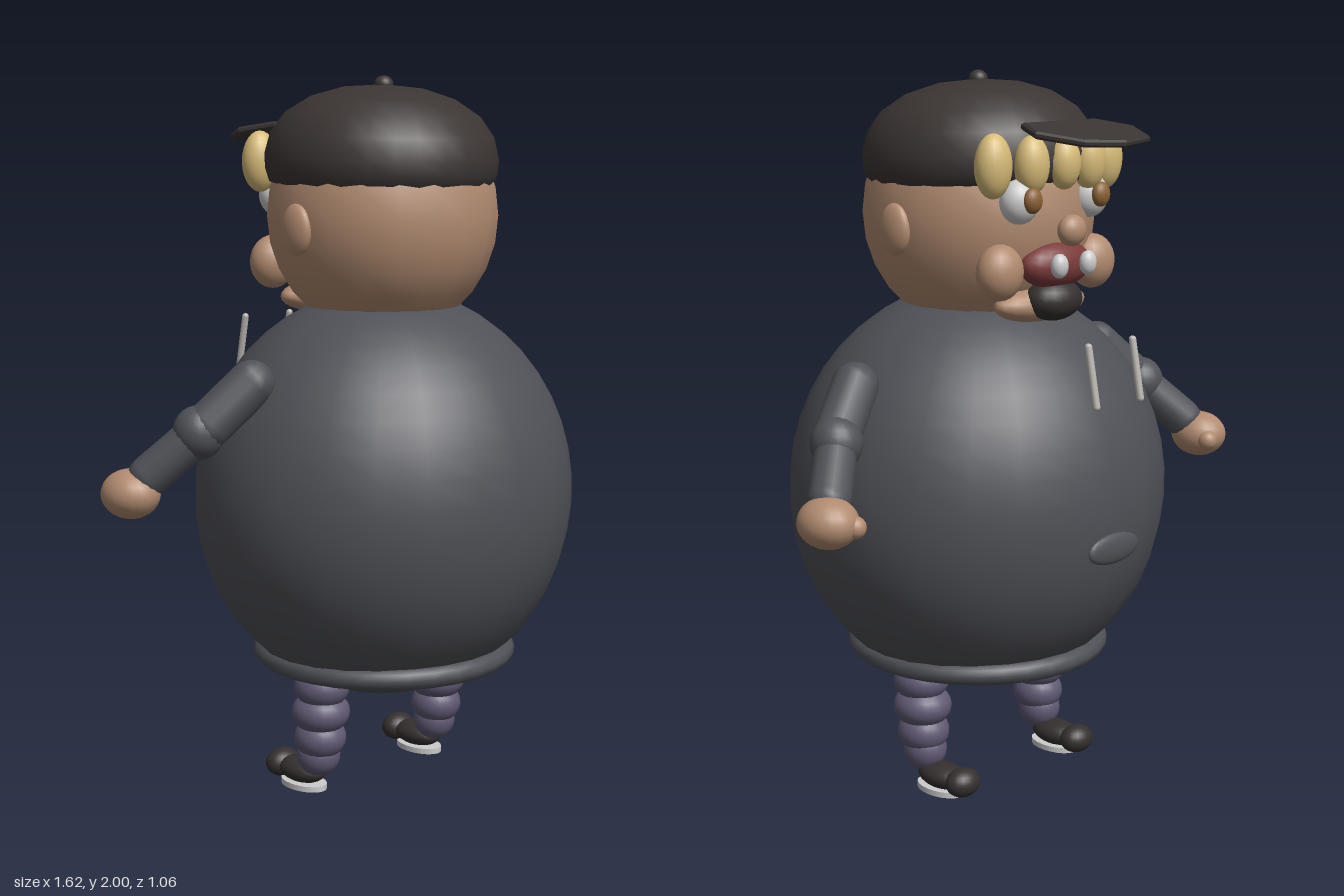
import * as THREE from 'three';

const mat = (color) => new THREE.MeshStandardMaterial({ color, side: THREE.DoubleSide });
const M = {
  coat: mat(0x505157), skin: mat(0xb18b70), cap: mat(0x3b3533), hair: mat(0xd6bb78),
  pants: mat(0x605a74), lips: mat(0x7b3a3a), white: mat(0xebebe8), brown: mat(0x8c6337),
  shoe: mat(0x35302f), cord: mat(0xb9b5b0),
};

export function createModel() {
  const root = new THREE.Group();

  function add(name, geometry, material, pos = [0, 0, 0], parent = root) {
    const mesh = new THREE.Mesh(geometry, material);
    mesh.name = name;
    mesh.position.set(...pos);
    parent.add(mesh);
    return mesh;
  }
  // Ellipsoid with radii r
  function blob(name, material, pos, r, parent = root) {
    const mesh = add(name, new THREE.SphereGeometry(1, 20, 14), material, pos, parent);
    mesh.scale.set(...r);
    return mesh;
  }
  // Rounded rod between two points
  function rod(name, material, from, to, radius, parent = root) {
    const a = new THREE.Vector3(...from), b = new THREE.Vector3(...to);
    const dir = b.clone().sub(a);
    const mesh = add(name, new THREE.CapsuleGeometry(radius, dir.length(), 5, 14), material,
      a.clone().add(b).multiplyScalar(0.5).toArray(), parent);
    mesh.quaternion.setFromUnitVectors(new THREE.Vector3(0, 1, 0), dir.normalize());
    return mesh;
  }

  // Round hooded body, open where the head sits in it
  const body = add('body', new THREE.SphereGeometry(1, 24, 20, 0, Math.PI * 2, 0.4, Math.PI - 0.4),
    M.coat, [0, 0.84, 0.01]);
  body.scale.set(0.55, 0.577, 0.52);
  const collar = add('collarTop', new THREE.CircleGeometry(0.213, 24), M.coat, [0, 1.37, 0.01]);
  collar.rotation.x = -Math.PI / 2;
  const hem = add('hem', new THREE.TorusGeometry(0.345, 0.03, 10, 32), M.coat, [0, 0.385, 0.01]);
  hem.rotation.x = Math.PI / 2;
  blob('pocket', M.coat, [0, 0.75, -0.508], [0.1, 0.042, 0.016]);

  // Head and face, looking along -z
  blob('head', M.skin, [0, 1.62, 0.005], [0.325, 0.34, 0.32]);
  blob('nose', M.skin, [0, 1.59, -0.345], [0.045, 0.042, 0.033]);
  blob('mouth', M.lips, [0, 1.495, -0.285], [0.125, 0.065, 0.062]);
  blob('goatee', M.shoe, [0, 1.4, -0.28], [0.09, 0.058, 0.066]);
  blob('chin', M.skin, [0, 1.385, -0.23], [0.165, 0.05, 0.065]);

  // Row of curls under the cap
  [-0.215, -0.11, 0, 0.11, 0.215].forEach((x) => {
    const t = Math.abs(x) / 0.215;
    blob('curl', M.hair, [x, 1.765, -0.315 + 0.05 * t * t],
      [0.048 + 0.006 * t, 0.07 + 0.015 * t, 0.042 + 0.004 * t]);
  });

  // Cap with button and brim
  const cap = new THREE.Group();
  cap.name = 'cap';
  cap.position.y = 1.77;
  cap.rotation.x = 0.04;
  root.add(cap);
  const profile = [[0.29, -0.07], [0.31, -0.065], [0.322, -0.03], [0.325, 0.01], [0.31, 0.07],
    [0.27, 0.125], [0.2, 0.17], [0.11, 0.197], [0, 0.206]].map((p) => new THREE.Vector2(...p));
  add('crown', new THREE.LatheGeometry(profile, 28), M.cap, [0, 0, 0], cap);
  blob('capButton', M.cap, [0, 0.205, 0], [0.027, 0.025, 0.027], cap);
  const outline = [[-0.14, 0], [-0.19, 0.1], [-0.125, 0.215], [0, 0.245], [0.125, 0.215], [0.19, 0.1], [0.14, 0]];
  const brim = add('brim', new THREE.ExtrudeGeometry(
    new THREE.Shape(outline.map((p) => new THREE.Vector2(...p))),
    { depth: 0.008, bevelEnabled: true, bevelThickness: 0.006, bevelSize: 0.006, bevelOffset: -0.006, bevelSegments: 1 }),
  M.cap, [0, 1.862, -0.29]);
  brim.rotation.x = -Math.PI / 2 - 0.17;

  // Paired parts; s = 1 is +x
  for (const s of [1, -1]) {
    blob('ear', M.skin, [s * 0.318, 1.59, 0], [0.028, 0.07, 0.054]);
    blob('eye', M.white, [s * 0.135, 1.67, -0.282], [0.058, 0.06, 0.048]);
    blob('pupil', M.brown, [s * 0.132, 1.675, -0.327], [0.03, 0.034, 0.022]);
    blob('cheek', M.skin, [s * 0.18, 1.485, -0.255], [0.07, 0.075, 0.057]);
    blob('tooth', M.white, [s * 0.055, 1.5, -0.353], [0.026, 0.033, 0.022]);
    rod('drawstring', M.cord, [s * 0.087, 1.305, -0.487], [s * 0.087, 1.15, -0.518], 0.01);

    // Sleeved arm and hand
    const arm = new THREE.Group();
    arm.name = 'arm';
    root.add(arm);
    rod('upperSleeve', M.coat, [s * 0.475, 1.19, -0.01], [s * 0.58, 1.085, -0.06], 0.064, arm);
    blob('elbow', M.coat, [s * 0.6, 1.065, -0.078], [0.07, 0.073, 0.07], arm);
    rod('lowerSleeve', M.coat, [s * 0.62, 1.04, -0.095], [s * 0.7, 0.95, -0.165], 0.057, arm);
    blob('hand', M.skin, [s * 0.735, 0.902, -0.2], [0.077, 0.067, 0.085], arm);
    blob('thumb', M.skin, [s * 0.7, 0.895, -0.262], [0.03, 0.03, 0.03], arm);

    // Bunched trouser leg
    const leg = new THREE.Group();
    leg.name = 'leg';
    leg.position.x = s * 0.235;
    root.add(leg);
    [[0.31, 0.079, 0], [0.235, 0.083, -0.005], [0.16, 0.074, -0.008], [0.108, 0.062, -0.015]].forEach(([y, r, z]) =>
      blob('trouserFold', M.pants, [0, y, z], [r, 0.062, r], leg));

    // Shoe with pale sole
    const sole = add('sole', new THREE.CylinderGeometry(1, 1, 0.016, 20), M.white, [0, 0.008, -0.078], leg);
    sole.scale.set(0.05, 1, 0.08);
    blob('shoe', M.shoe, [0, 0.047, -0.085], [0.052, 0.036, 0.083], leg);
    blob('toeCap', M.shoe, [0, 0.048, -0.168], [0.054, 0.041, 0.043], leg);
  }
  return root;
}
